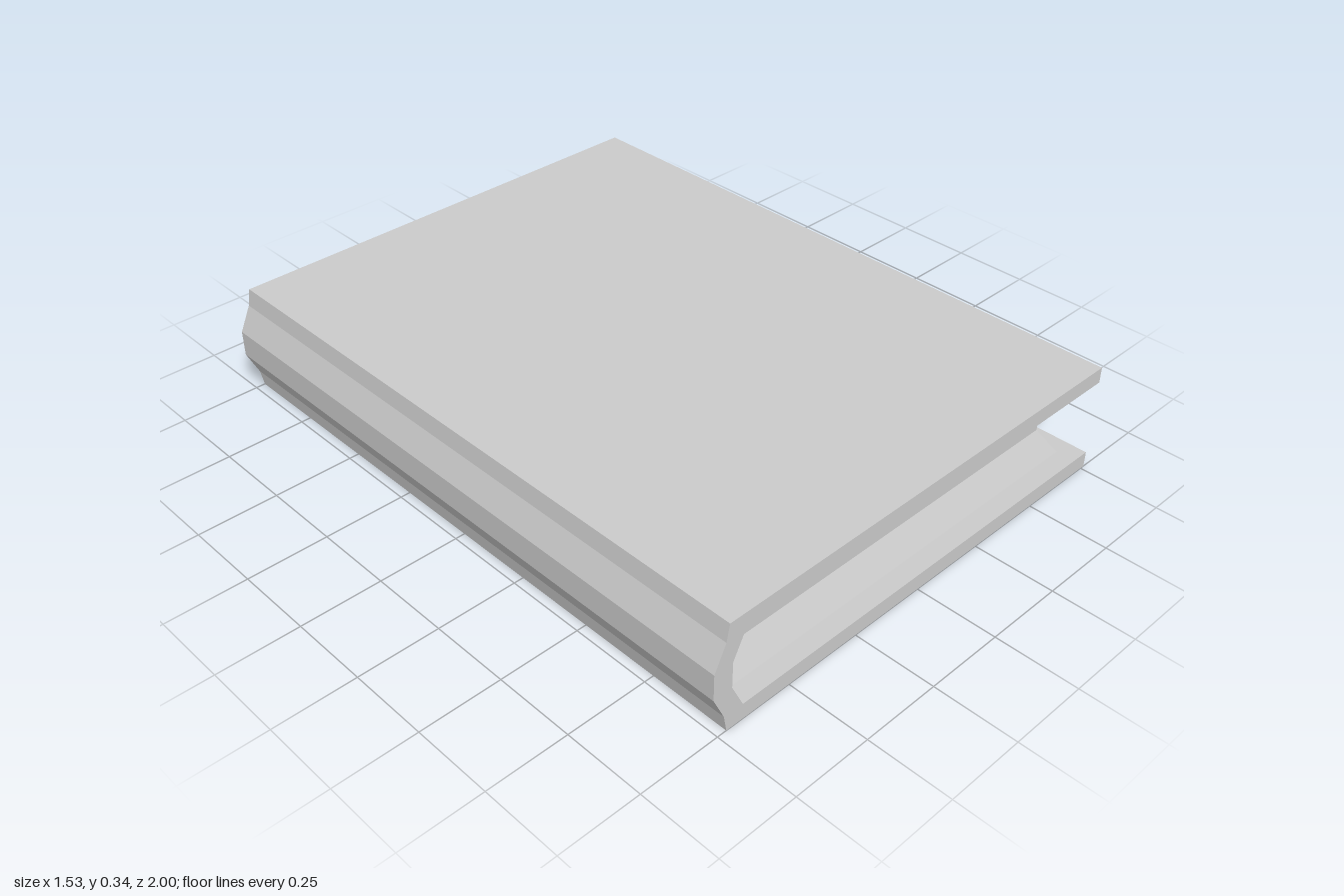
import * as THREE from 'three';

const material = new THREE.MeshStandardMaterial({ color: 0xcccccc, flatShading: true });

// Two boards and a faceted spine as one extruded profile
function makeCover() {
  const profile = [
    [0.765, 0], [-0.72, 0], [-0.73, 0.053], [-0.767, 0.131],
    [-0.767, 0.213], [-0.73, 0.291], [-0.72, 0.344], [0.765, 0.344],
    [0.765, 0.294], [-0.665, 0.294], [-0.705, 0.213],
    [-0.705, 0.131], [-0.665, 0.05], [0.765, 0.05],
  ];
  const shape = new THREE.Shape(profile.map(([x, y]) => new THREE.Vector2(x, y)));
  const geometry = new THREE.ExtrudeGeometry(shape, { depth: 2, bevelEnabled: false });
  geometry.translate(0, 0, -1);
  const mesh = new THREE.Mesh(geometry, material);
  mesh.name = 'cover';
  return mesh;
}

// Page block with concave edges on three sides, lofted through four levels
function makePages() {
  const levels = [
    { y: 0.05, left: -0.665, right: 0.705, z: 0.94 },
    { y: 0.131, left: -0.705, right: 0.653, z: 0.895 },
    { y: 0.213, left: -0.705, right: 0.653, z: 0.895 },
    { y: 0.294, left: -0.665, right: 0.705, z: 0.94 },
  ];
  const positions = [];
  const index = [];
  levels.forEach(({ y, left, right, z }) => {
    positions.push(left, y, z, right, y, z, right, y, -z, left, y, -z);
  });
  // The spine side and the faces against the boards are closed by the cover
  for (let level = 0; level < 3; level++) {
    for (let side = 0; side < 3; side++) {
      const a = level * 4 + side;
      index.push(a, a + 1, a + 5, a, a + 5, a + 4);
    }
  }
  const indexed = new THREE.BufferGeometry();
  indexed.setAttribute('position', new THREE.Float32BufferAttribute(positions, 3));
  indexed.setIndex(index);
  const geometry = indexed.toNonIndexed();
  geometry.computeVertexNormals();
  const mesh = new THREE.Mesh(geometry, material);
  mesh.name = 'pages';
  return mesh;
}

export function createModel() {
  const book = new THREE.Group();
  book.name = 'book';
  book.add(makeCover(), makePages());
  return book;
}
